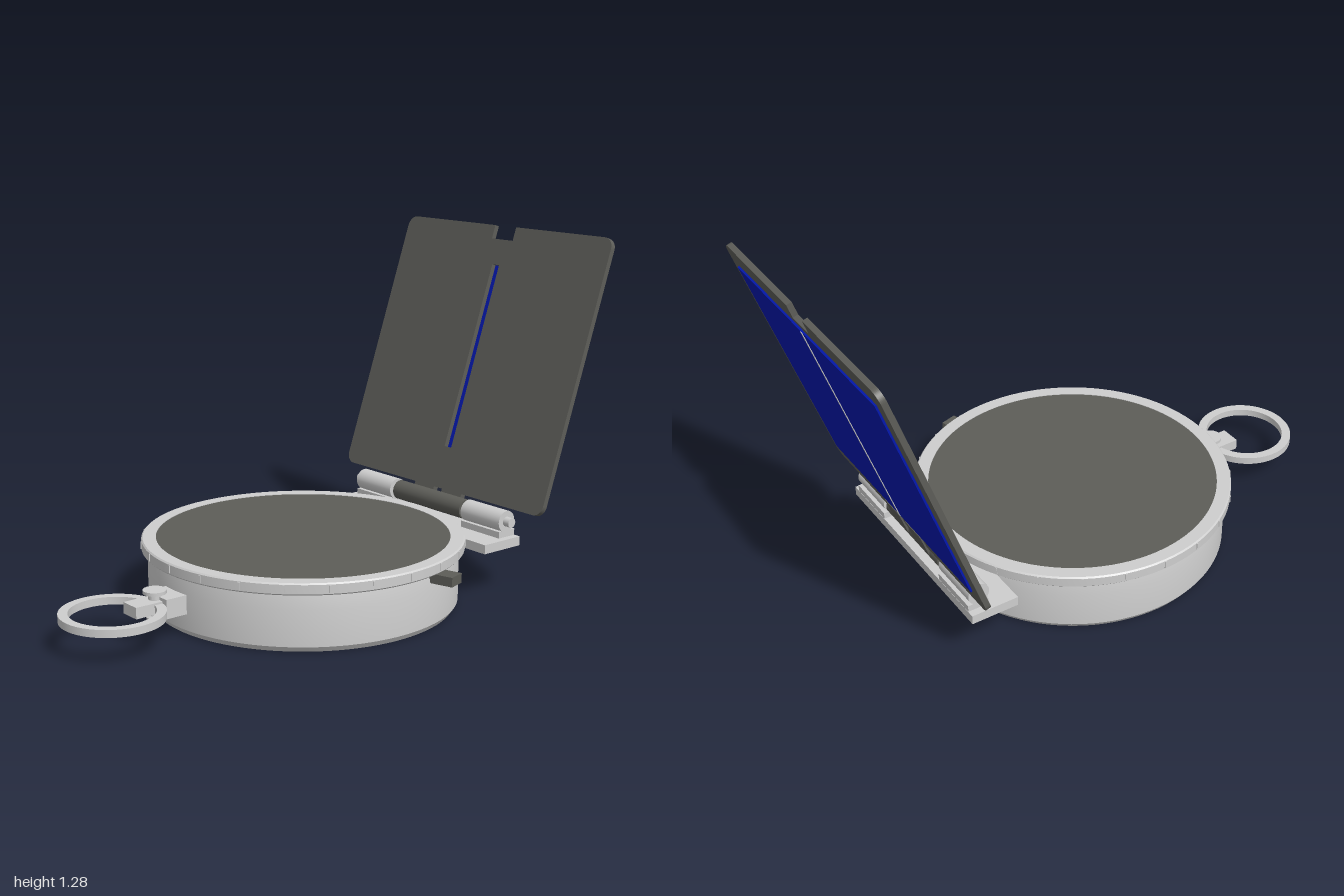
import * as THREE from 'three';
import { toCreasedNormals } from 'three/addons/utils/BufferGeometryUtils.js';

const CX = -0.018; // middle line of the case
const CZ = 0.01;

function material(name, color) {
  const m = new THREE.MeshStandardMaterial({ color });
  m.name = name;
  return m;
}

export function createModel() {
  const model = new THREE.Group();
  model.name = 'sundialCompass';
  const silver = material('silver', 0xcecece);
  const darkGrey = material('darkGrey', 0x5d5d58);
  const blue = material('blue', 0x0318ae);

  function add(parent, name, geometry, mat, x = 0, y = 0, z = 0) {
    const mesh = new THREE.Mesh(geometry, mat);
    mesh.name = name;
    mesh.position.set(x, y, z);
    parent.add(mesh);
    return mesh;
  }
  // Box given by its limits
  function box(parent, name, mat, x0, x1, y0, y1, z0, z1) {
    return add(parent, name, new THREE.BoxGeometry(x1 - x0, y1 - y0, z1 - z0), mat,
      (x0 + x1) / 2, (y0 + y1) / 2, (z0 + z1) / 2);
  }
  function lathe(points, segments = 96) {
    const g = new THREE.LatheGeometry(points.map(p => new THREE.Vector2(...p)), segments);
    return toCreasedNormals(g, 0.3);
  }
  // Cylinder lying along x
  function bar(name, mat, x0, x1, r) {
    const g = new THREE.CylinderGeometry(r, r, x1 - x0, 32);
    g.rotateZ(Math.PI / 2);
    add(model, name, g, mat, (x0 + x1) / 2, 0.262, -0.622);
  }

  // Round case with closed bottom, bezel and dial
  add(model, 'caseBody', lathe([[0, 0], [0.543, 0], [0.557, 0.02], [0.557, 0.15],
    [0.546, 0.208]]), silver, CX, 0, CZ);
  add(model, 'bezel', lathe([[0.527, 0.205], [0.574, 0.205], [0.579, 0.21], [0.579, 0.242],
    [0.574, 0.247], [0.527, 0.247], [0.527, 0.205]]), silver, CX, 0, CZ);
  add(model, 'dial', new THREE.CylinderGeometry(0.527, 0.527, 0.03, 96), darkGrey, CX, 0.23, CZ);

  // Raised marks every fifteen degrees around the bezel
  const marks = new THREE.Group();
  marks.name = 'bezelMarks';
  marks.position.set(CX, 0, CZ);
  model.add(marks);
  for (let i = 0; i < 24; i++) {
    const a = i * Math.PI / 12;
    const mark = add(marks, 'bezelMark', new THREE.BoxGeometry(0.007, 0.026, 0.008), silver,
      Math.sin(a) * 0.578, 0.227, Math.cos(a) * 0.578);
    mark.rotation.y = a;
  }

  // Side latch
  const latch = add(model, 'sideLatch', new THREE.BoxGeometry(0.09, 0.034, 0.065), darkGrey, 0.55, 0.188, -0.153);
  latch.rotation.y = 0.29;

  // Front lug with pin and ring
  box(model, 'lug', silver, -0.08, 0.044, 0.078, 0.146, 0.54, 0.645);
  box(model, 'tongue', silver, -0.057, 0.021, 0.095, 0.135, 0.6, 0.75);
  add(model, 'pin', lathe([[0, 0.063], [0.03, 0.063], [0.03, 0.073], [0.022, 0.08], [0.022, 0.15],
    [0.041, 0.156], [0.041, 0.168], [0, 0.168]], 32), silver, CX, 0, 0.65);
  add(model, 'ring', lathe([[0.147, 0.101], [0.18, 0.101], [0.18, 0.128], [0.147, 0.128],
    [0.147, 0.101]], 64), silver, CX, 0, 0.818);

  // Hinge plate, barrels and rod
  box(model, 'hingePlate', silver, -0.44, 0.404, 0.17, 0.204, -0.665, -0.487);
  for (const [x0, x1] of [[-0.413, -0.215], [0.179, 0.377]]) {
    box(model, 'hingeSupport', silver, x0, x1, 0.2, 0.228, -0.664, -0.585);
    bar('outerBarrel', silver, x0, x1, 0.04);
  }
  bar('middleBarrel', darkGrey, -0.2, 0.167, 0.037);
  bar('hingeRod', silver, -0.44, 0.404, 0.018);

  // Tilted lid; its front face lies on local z = 0
  const lid = new THREE.Group();
  lid.name = 'lid';
  lid.position.set(CX, 0.304, -0.648);
  lid.rotation.x = -0.331;
  model.add(lid);
  const w = 0.536, h = 1.032, r = 0.04;
  const s = new THREE.Shape();
  s.moveTo(-w + r, 0);
  s.lineTo(w - r, 0);
  s.absarc(w - r, r, r, -Math.PI / 2, 0, false);
  s.absarc(w - r, h - r, r, 0, Math.PI / 2, false);
  s.lineTo(0.055, h);
  s.lineTo(0.055, h - 0.053);
  s.lineTo(-0.055, h - 0.053);
  s.lineTo(-0.055, h);
  s.absarc(-w + r, h - r, r, Math.PI / 2, Math.PI, false);
  s.absarc(-w + r, r, r, Math.PI, Math.PI * 1.5, false);
  const slot = new THREE.Path();
  slot.moveTo(-0.018, 0.16);
  slot.lineTo(-0.018, 0.88);
  slot.lineTo(0.018, 0.88);
  slot.lineTo(0.018, 0.16);
  slot.closePath();
  s.holes.push(slot);
  const frame = new THREE.ExtrudeGeometry(s, { depth: 0.02, bevelEnabled: false, curveSegments: 8 });
  add(lid, 'lidFrame', frame, darkGrey, 0, 0, -0.02);

  // Blue pane on the back with a thin dividing strip, and the hinge tabs
  box(lid, 'bluePane', blue, -0.48, 0.48, 0.075, 0.957, -0.027, -0.019);
  box(lid, 'paneDivider', silver, -0.005, 0.005, 0.075, 0.957, -0.029, -0.026);
  for (const side of [-1, 1]) {
    const a = side * 0.022, b = side * 0.127;
    box(lid, 'hingeTab', darkGrey, Math.min(a, b), Math.max(a, b), -0.04, 0.055, -0.026, -0.004);
  }
  return model;
}
